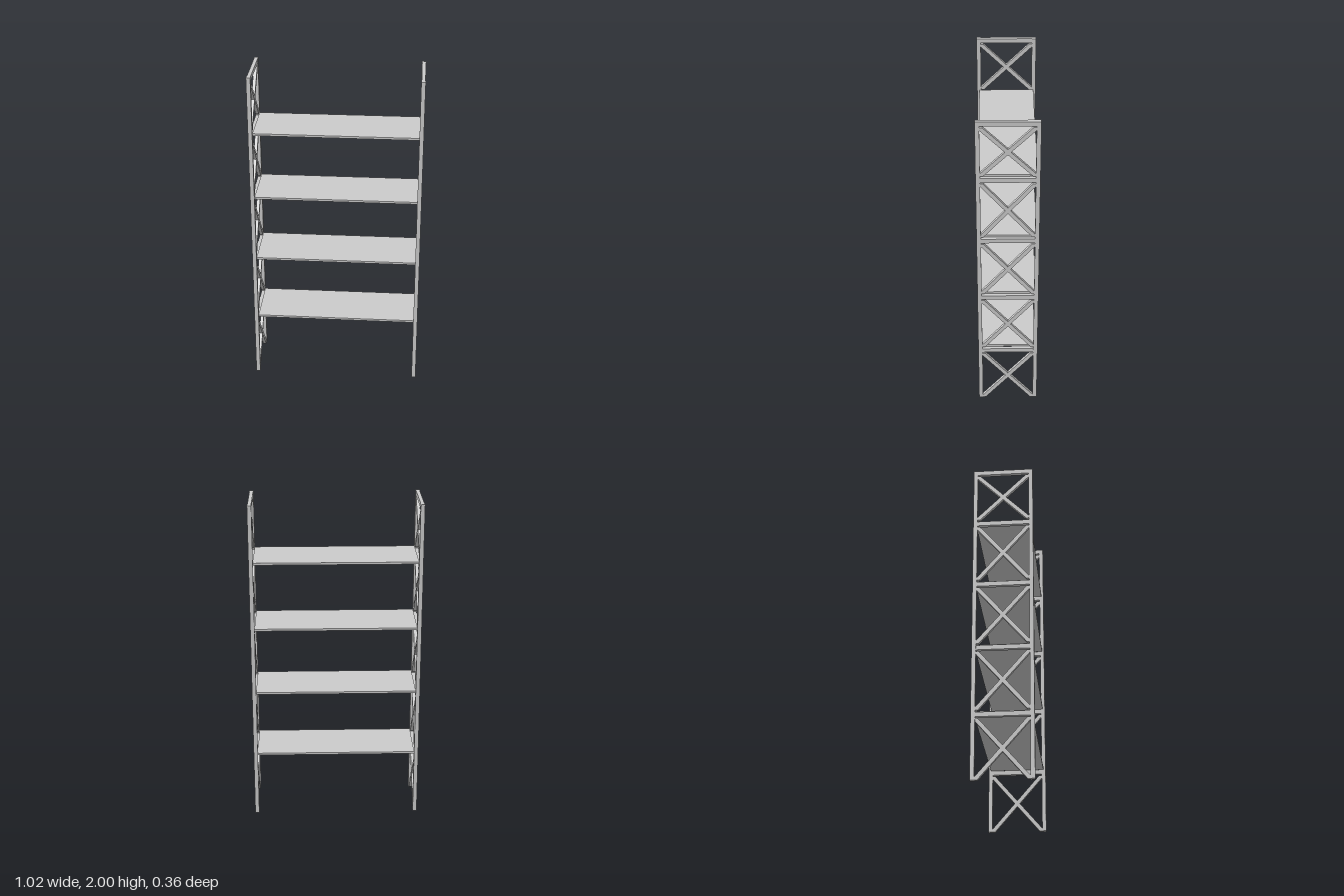
import * as THREE from 'three';

const material = new THREE.MeshStandardMaterial({ color: 0xcccccc });

const HEIGHT = 2;
const POST = 0.025; // square post section
const POST_X = 0.5, POST_Z = 0.168;
const PITCH = 0.413; // shelf spacing, measured to the shelf tops
const SHELF_T = 0.013, RAIL_H = 0.028, RAIL_D = 0.022;
const INNER_Z = POST_Z - POST / 2;

function box(parent, name, w, h, d, x, y, z) {
  const mesh = new THREE.Mesh(new THREE.BoxGeometry(w, h, d), material);
  mesh.name = name;
  mesh.position.set(x, y, z);
  parent.add(mesh);
}

// Diagonal bar running corner to corner of a bay, trimmed flush at its ends
function brace(parent, y0, y1, dir) {
  const w = INNER_Z, cut = 0.016, rise = 0.018, depth = 0.02;
  const points = [
    [-w, y0], [-w + cut, y0], [w, y1 - rise],
    [w, y1], [w - cut, y1], [-w, y0 + rise],
  ].map(([z, y]) => new THREE.Vector2(z, y));
  const geometry = new THREE.ExtrudeGeometry(new THREE.Shape(points), { depth, bevelEnabled: false });
  geometry.translate(0, 0, -depth / 2);
  const mesh = new THREE.Mesh(geometry, material);
  mesh.name = 'crossBrace';
  mesh.rotation.y = dir * Math.PI / 2;
  parent.add(mesh);
}

// Ladder-like side frame: two posts, rails and X braces
function sideFrame(name, x) {
  const frame = new THREE.Group();
  frame.name = name;
  frame.position.x = x;
  for (const s of [-1, 1]) box(frame, 'post', POST, HEIGHT, POST, 0, HEIGHT / 2, s * POST_Z);
  for (let i = 0; i < 5; i++) {
    const bottom = i * PITCH;
    const railTop = i < 4 ? (i + 1) * PITCH - SHELF_T : HEIGHT;
    box(frame, 'rail', RAIL_D, RAIL_H, INNER_Z * 2, 0, railTop - RAIL_H / 2, 0);
    for (const dir of [-1, 1]) brace(frame, bottom, railTop - RAIL_H - 0.009, dir);
  }
  return frame;
}

export function createModel() {
  const model = new THREE.Group();
  model.name = 'shelvingUnit';
  model.add(sideFrame('leftFrame', POST_X), sideFrame('rightFrame', -POST_X));

  // Four thin shelves spanning between the frames
  const width = 2 * (POST_X - POST / 2) + 0.002;
  for (let i = 1; i <= 4; i++) {
    box(model, 'shelf', width, SHELF_T, 0.334, 0, i * PITCH - SHELF_T / 2, 0);
  }
  return model;
}
